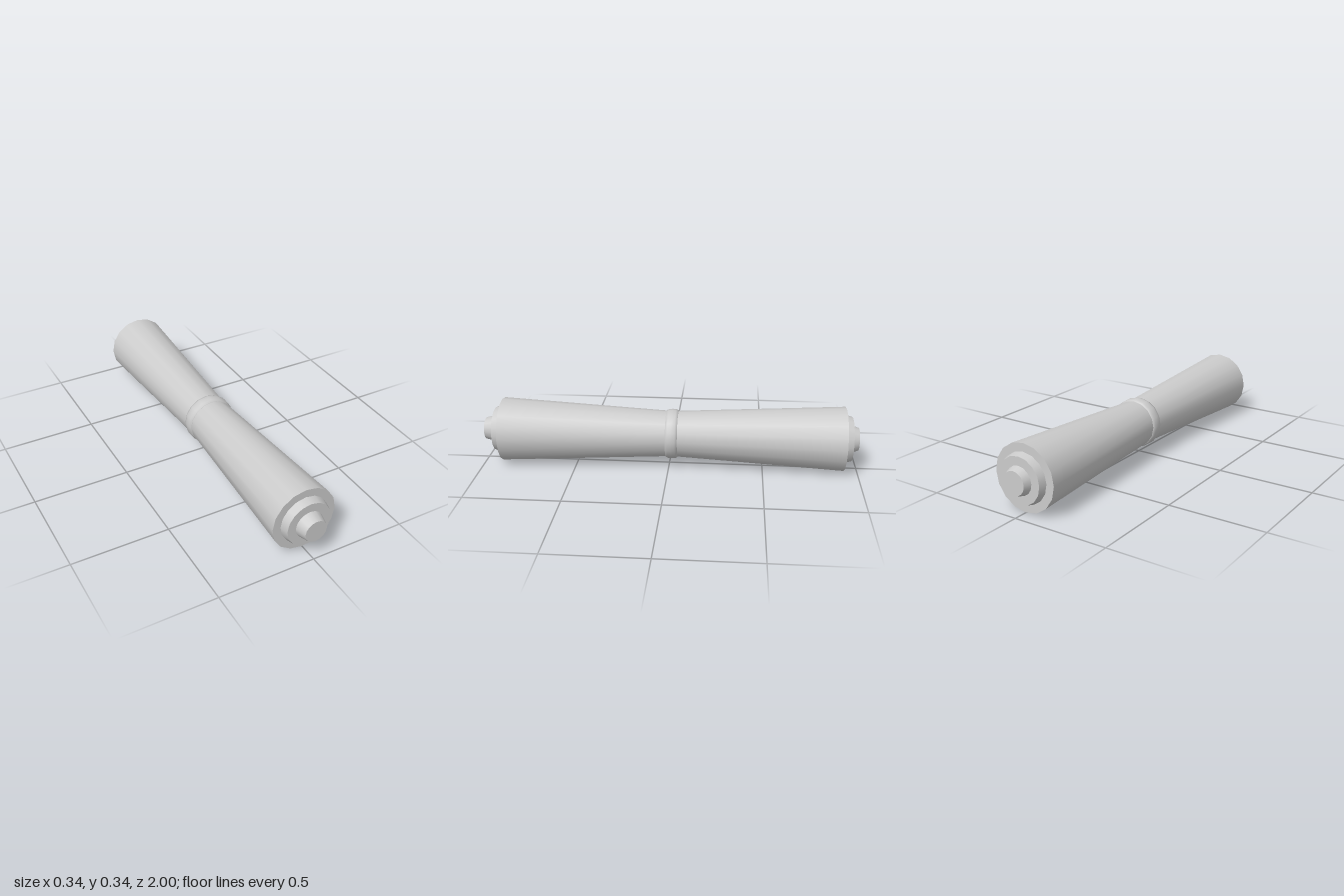
import * as THREE from 'three';

const SIDES = 16;
const CENTRE_Y = 0.172;

export function createModel() {
  const model = new THREE.Group();
  model.name = 'turnedSpindle';
  const material = new THREE.MeshStandardMaterial({ color: 0xcccccc });

  // Turned part along z from [radius, z] points, z ascending
  function turned(name, points, parent) {
    const profile = points.map(([r, z]) => new THREE.Vector2(r, z));
    const geometry = new THREE.LatheGeometry(profile, SIDES);
    geometry.rotateX(Math.PI / 2);
    const mesh = new THREE.Mesh(geometry, material);
    mesh.name = name;
    parent.add(mesh);
  }

  // Tapered solid: a smooth wall with flat, sharp-edged caps
  function taper(name, rBack, zBack, rFront, zFront) {
    const part = new THREE.Group();
    part.name = name;
    turned(name + 'Wall', [[rBack, zBack], [rFront, zFront]], part);
    turned(name + 'BackCap', [[0, zBack], [rBack, zBack]], part);
    turned(name + 'FrontCap', [[rFront, zFront], [0, zFront]], part);
    model.add(part);
  }

  // Flared halves meeting at the waist
  const waist = -0.015;
  taper('frontHandle', 0.121, waist, 0.17, 0.902);
  taper('backHandle', 0.17, -0.927, 0.121, waist);

  // Stepped collars and end knobs
  taper('frontCollar', 0.128, 0.902, 0.118, 0.944);
  taper('frontKnob', 0.073, 0.944, 0.058, 1);
  taper('backCollar', 0.118, -0.964, 0.128, -0.927);
  taper('backKnob', 0.06, -1, 0.073, -0.964);

  // Rounded band around the waist
  const half = 0.032;
  turned('waistBand', [
    [0.118, waist - half], [0.126, waist - half], [0.131, waist - half * 0.6],
    [0.133, waist],
    [0.131, waist + half * 0.6], [0.126, waist + half], [0.118, waist + half],
  ], model);

  model.position.y = CENTRE_Y;
  const root = new THREE.Group();
  root.name = 'model';
  root.add(model);
  return root;
}
